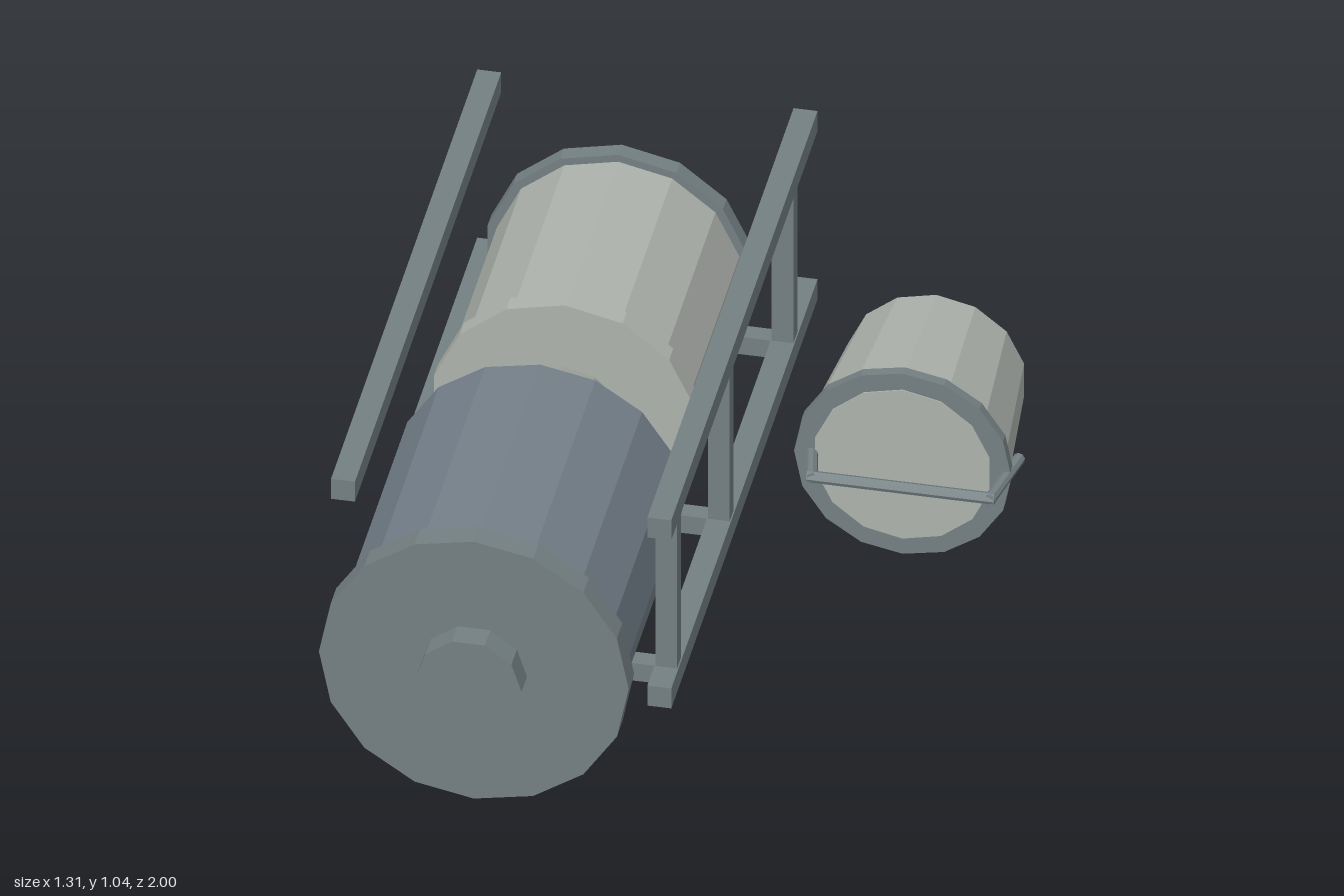
import * as THREE from 'three';

const mat = (name, color) => {
  const m = new THREE.MeshStandardMaterial({ color, flatShading: true });
  m.name = name;
  return m;
};

export function createModel() {
  const steel = mat('grey steel', 0x748083);
  const drumBlue = mat('blue grey drum', 0x74808a);
  const tin = mat('pale tin', 0xaeb3ad);
  const brass = mat('brass', 0xc8b282);

  const model = new THREE.Group();
  const CX = -0.265, CY = 0.69; // axis shared by both drums

  const add = (parent, name, geometry, material) => {
    const mesh = new THREE.Mesh(geometry, material);
    mesh.name = name;
    parent.add(mesh);
    return mesh;
  };
  const group = (name) => {
    const g = new THREE.Group();
    g.name = name;
    model.add(g);
    return g;
  };
  // Cylinder or cone lying along z, from z0 (back, radius r0) to z1 (front, radius r1)
  const lying = (parent, name, x, y, z0, z1, r0, r1, sides, material, turn = 0) => {
    const g = new THREE.CylinderGeometry(r1, r0, z1 - z0, sides, 1, false, turn);
    g.rotateX(Math.PI / 2).translate(x, y, (z0 + z1) / 2);
    return add(parent, name, g, material);
  };
  // Box given by its limits
  const box = (parent, name, x0, x1, y0, y1, z0, z1, material) => {
    const g = new THREE.BoxGeometry(x1 - x0, y1 - y0, z1 - z0);
    g.translate((x0 + x1) / 2, (y0 + y1) / 2, (z0 + z1) / 2);
    return add(parent, name, g, material);
  };
  // Round bar between two points
  const rod = (parent, name, a, b, r, sides, material) => {
    const from = new THREE.Vector3(...a), to = new THREE.Vector3(...b);
    const dir = to.clone().sub(from);
    const mesh = add(parent, name, new THREE.CylinderGeometry(r, r, dir.length(), sides), material);
    mesh.position.copy(from).add(to).multiplyScalar(0.5);
    mesh.quaternion.setFromUnitVectors(new THREE.Vector3(0, 1, 0), dir.normalize());
    return mesh;
  };

  // Large front drum with lid, knob and underside hatch
  const front = group('frontDrum');
  lying(front, 'drumBody', CX, CY, 0.21, 0.885, 0.33, 0.33, 16, drumBlue);
  lying(front, 'drumLid', CX, CY, 0.88, 0.94, 0.355, 0.355, 16, steel);
  lying(front, 'lidKnob', CX, CY, 0.94, 1.0, 0.122, 0.122, 10, steel, Math.PI / 2);
  box(front, 'hatchPlate', CX - 0.06, CX + 0.06, 0.346, 0.385, 0.457, 0.757, tin);
  box(front, 'hatchCover', CX - 0.035, CX + 0.035, 0.337, 0.347, 0.457, 0.61, steel);

  // Neck joining the two drums
  const neck = group('neck');
  lying(neck, 'neckTube', CX, CY, 0.03, 0.215, 0.163, 0.163, 12, tin);
  lying(neck, 'neckCollar', CX, CY, 0.01, 0.055, 0.165, 0.176, 12, steel);
  lying(neck, 'neckCone', CX, CY, -0.06, 0.01, 0.135, 0.165, 12, tin);

  // Smaller rear drum
  const rear = group('rearDrum');
  lying(rear, 'rearBody', CX, CY + 0.003, -0.65, -0.09, 0.285, 0.285, 14, tin);
  lying(rear, 'rearFrontHoop', CX, CY, -0.1, -0.055, 0.307, 0.307, 14, tin);
  lying(rear, 'rearEndCap', CX, CY, -0.685, -0.645, 0.307, 0.307, 14, steel);

  // Tap under the rear drum
  const tap = group('tap');
  rod(tap, 'tapPipe', [CX, 0.185, -0.483], [CX, 0.45, -0.483], 0.04, 8, brass);
  lying(tap, 'tapSpout', CX, 0.183, -0.595, -0.47, 0.027, 0.027, 8, brass);
  lying(tap, 'tapWheel', CX, 0.278, -0.42, -0.4, 0.086, 0.086, 8, steel);

  // Frame: four rails, floor bars, and posts on the left side only
  const frame = group('frame');
  for (const x of [-0.655, 0.07])
    for (const y of [0.43, 0.895])
      box(frame, 'rail', x, x + 0.055, y, y + 0.055, -0.965, 0.64, steel);
  for (const z of [0.54, -0.037, -0.735]) {
    box(frame, 'post', 0.072, 0.122, 0.48, 0.9, z - 0.022, z + 0.022, steel);
    box(frame, 'crossBar', -0.61, 0.08, 0.437, 0.485, z - 0.022, z + 0.022, steel);
  }

  // Pail lying on its side
  const pail = group('pail');
  const PX = 0.39, PY = 0.25;
  lying(pail, 'pailBody', PX, PY, -1.0, -0.645, 0.206, 0.24, 14, tin);
  lying(pail, 'pailRim', PX, PY, -0.655, -0.63, 0.249, 0.249, 16, steel);
  lying(pail, 'pailInside', PX, PY, -0.632, -0.627, 0.205, 0.205, 14, tin);
  rod(pail, 'handleBar', [0.19, PY, -0.54], [0.62, PY, -0.54], 0.014, 8, steel);
  for (const s of [-1, 1])
    rod(pail, 'handleArm', [0.405 + s * 0.237, PY, -0.705], [0.405 + s * 0.203, PY, -0.53], 0.014, 8, steel);

  return model;
}
